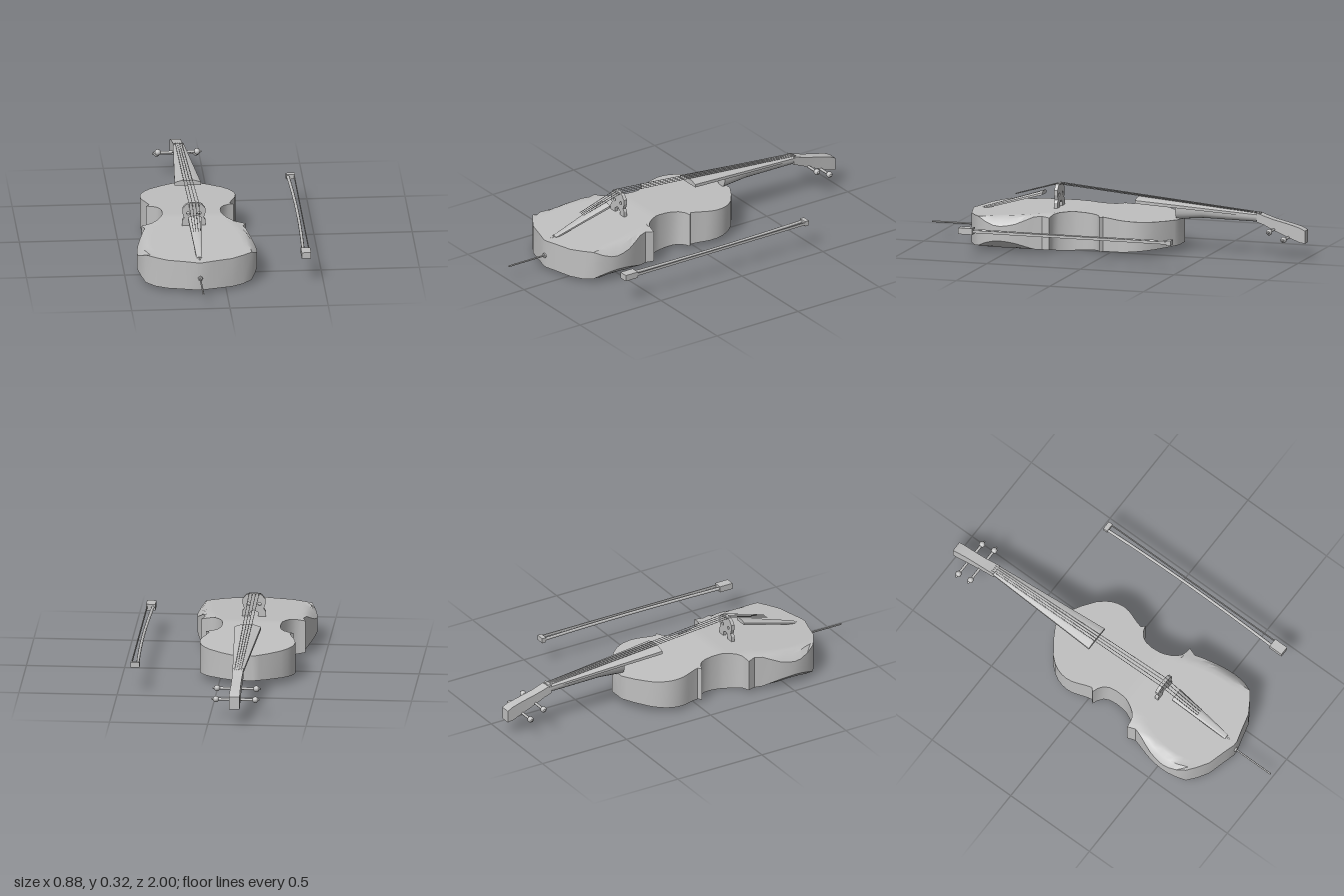
import * as THREE from 'three';
import { toCreasedNormals } from 'three/addons/utils/BufferGeometryUtils.js';

const grey = new THREE.MeshStandardMaterial({ color: 0xc0c0c0 });
grey.name = 'plain grey';

// Piecewise linear curve through [t, value] knots
function lerpKnots(knots, t) {
  for (let i = 1; i < knots.length; i++) {
    const [t0, v0] = knots[i - 1], [t1, v1] = knots[i];
    if (t <= t1) return v0 + (v1 - v0) * Math.max(0, (t - t0) / (t1 - t0));
  }
  return knots[knots.length - 1][1];
}

// Skin over rings (counter-clockwise seen from +z), listed from back to front
function loft(rings, crease = 0.6) {
  const n = rings[0].length, index = [];
  for (let i = 0; i < rings.length - 1; i++) {
    for (let k = 0; k < n; k++) {
      const a = i * n + k, b = i * n + (k + 1) % n;
      index.push(a, b, a + n, b, b + n, a + n);
    }
  }
  const last = (rings.length - 1) * n;
  for (let k = 1; k < n - 1; k++) index.push(0, k + 1, k, last, last + k, last + k + 1);
  const g = new THREE.BufferGeometry();
  g.setAttribute('position', new THREE.Float32BufferAttribute(rings.flat(2), 3));
  g.setIndex(index);
  return toCreasedNormals(g, crease);
}

// Unit cross-sections: x in -1..1, y in 0..1
const box = [[-1, 0], [1, 0], [1, 1], [-1, 1]];
const arched = [[-1, 0], [1, 0], [1, 0.6], [0.5, 1], [-0.5, 1], [-1, 0.6]];
const rounded = [[-1, 1], ...Array.from({ length: 9 }, (_, i) => {
  const a = Math.PI * (1 + i / 8);
  return [Math.cos(a), 0.75 + 0.75 * Math.sin(a)];
}), [1, 1]];

// Sections are [z, half width, bottom, top]
const bar = (shape, sections) => loft(sections.map(([z, w, y0, y1]) =>
  shape.map(([u, v]) => [u * w, y0 + (y1 - y0) * v, z])));

function add(parent, name, geometry) {
  const mesh = new THREE.Mesh(geometry, grey);
  mesh.name = name;
  parent.add(mesh);
  return mesh;
}

// Straight round rod between two points
function rod(parent, name, a, b, r0, r1 = r0, sides = 8) {
  const p = new THREE.Vector3(...a), q = new THREE.Vector3(...b);
  const d = q.clone().sub(p);
  const mesh = add(parent, name, new THREE.CylinderGeometry(r1, r0, d.length(), sides));
  mesh.position.copy(p).addScaledVector(d, 0.5);
  mesh.quaternion.setFromUnitVectors(new THREE.Vector3(0, 1, 0), d.normalize());
  return mesh;
}

function bodyGeometry() {
  // Outline as [z, half width]
  const outline = [
    [-0.335, 0.045], [-0.318, 0.075], [-0.295, 0.115], [-0.245, 0.182], [-0.21, 0.212], [-0.18, 0.229],
    [-0.15, 0.239], [-0.115, 0.243], [-0.08, 0.239], [-0.05, 0.229], [-0.01, 0.214], [0.02, 0.206],
    [0.035, 0.223], [0.045, 0.195], [0.065, 0.168], [0.095, 0.153], [0.135, 0.148], [0.175, 0.15],
    [0.2, 0.155], [0.235, 0.171], [0.262, 0.19], [0.28, 0.213], [0.285, 0.24], [0.288, 0.265],
    [0.33, 0.25], [0.37, 0.263], [0.415, 0.28], [0.46, 0.295], [0.505, 0.303], [0.54, 0.306],
    [0.575, 0.303], [0.62, 0.291], [0.665, 0.27], [0.7, 0.222], [0.735, 0.165], [0.76, 0.07], [0.777, 0.012]];
  // Arch of both plates along and across the body
  const topZ = [[-0.34, 0.175], [0.2, 0.206], [0.78, 0.167]];
  const topX = [[0, 0.206], [0.165, 0.206], [0.265, 0.186], [0.306, 0.135]];
  const backZ = [[-0.34, 0.045], [0.22, 0.003], [0.78, 0.019]];
  const backX = [[0, 0.003], [0.165, 0.003], [0.265, 0.02], [0.306, 0.06]];
  const n = 24;
  return loft(outline.map(([z, w]) => {
    const back = [], top = [];
    for (let j = 0; j <= n; j++) {
      const x = w * (2 * j / n - 1), d = Math.abs(x);
      back.push([x, Math.max(lerpKnots(backZ, z), lerpKnots(backX, d)), z]);
      top.unshift([x, Math.min(lerpKnots(topZ, z), lerpKnots(topX, d)), z]);
    }
    return [...back, ...top];
  }));
}

function bridgeGeometry() {
  const s = new THREE.Shape();
  const half = [[0.022, 0.195], [0.06, 0.195], [0.06, 0.225], [0.05, 0.24], [0.058, 0.265], [0.058, 0.29], [0.04, 0.312], [0.018, 0.319]];
  const points = [...half, ...half.map(([x, y]) => [-x, y]).reverse(), [-0.02, 0.22], [0, 0.232], [0.02, 0.22]];
  s.setFromPoints(points.map(([x, y]) => new THREE.Vector2(x, y)));
  for (const x of [-0.028, 0.028]) s.holes.push(new THREE.Path().absarc(x, 0.264, 0.009, 0, Math.PI * 2, true));
  const g = new THREE.ExtrudeGeometry(s, { depth: 0.018, bevelEnabled: false, curveSegments: 8 });
  return g.translate(0, 0, 0.311);
}

export function createModel() {
  const model = new THREE.Group();
  model.name = 'celloAndBow';

  const cello = new THREE.Group();
  cello.name = 'cello';
  cello.position.x = -0.135;
  model.add(cello);

  add(cello, 'body', bodyGeometry());
  add(cello, 'bridge', bridgeGeometry());
  add(cello, 'neck', bar(rounded, [[-0.76, 0.026, 0.18, 0.213], [-0.45, 0.031, 0.183, 0.232], [-0.31, 0.036, 0.17, 0.238]]));
  add(cello, 'fingerboard', bar(arched, [[-0.752, 0.028, 0.208, 0.227], [-0.105, 0.067, 0.248, 0.275]]));
  add(cello, 'tailpiece', bar(arched, [[0.4, 0.035, 0.258, 0.278], [0.72, 0.014, 0.165, 0.177]]));
  rod(cello, 'tailCord', [0, 0.17, 0.71], [0, 0.163, 0.775], 0.004);
  add(cello, 'pegbox', bar(box, [
    [-1, 0.027, 0.085, 0.15], [-0.97, 0.027, 0.09, 0.165], [-0.915, 0.025, 0.11, 0.18],
    [-0.83, 0.025, 0.145, 0.2], [-0.78, 0.027, 0.17, 0.216], [-0.742, 0.028, 0.183, 0.23]]));

  // Tuning pegs, two on each side
  for (const [z, y] of [[-0.91, 0.112], [-0.833, 0.148]]) {
    for (const side of [-1, 1]) {
      rod(cello, 'pegShaft', [0, y, z], [side * 0.09, y, z], 0.007);
      add(cello, 'pegKnob', new THREE.SphereGeometry(0.016, 12, 8)).position.set(side * 0.1, y, z);
      rod(cello, 'pegTip', [side * 0.11, y, z], [side * 0.122, y, z], 0.008, 0.004);
    }
  }

  // Strings run nut, bridge, tailpiece
  for (const i of [-1.5, -0.5, 0.5, 1.5]) {
    const top = [i * 0.017, 0.319, 0.32];
    rod(cello, 'string', [i * 0.011, 0.226, -0.76], top, 0.0016, 0.0016, 5);
    rod(cello, 'stringEnd', top, [i * 0.012, 0.252, 0.55], 0.0016, 0.0016, 5);
  }

  // End pin with its collar
  rod(cello, 'endPinCollar', [0, 0.082, 0.765], [0, 0.082, 0.785], 0.014, 0.012, 12);
  rod(cello, 'endPin', [0, 0.082, 0.77], [0, 0.082, 1], 0.0045);

  const bow = new THREE.Group();
  bow.name = 'bow';
  model.add(bow);
  const stick = new THREE.CatmullRomCurve3([[0.399, -0.45], [0.407, -0.22], [0.411, 0.08], [0.408, 0.36], [0.401, 0.62]]
    .map(([x, z]) => new THREE.Vector3(x, 0.151, z)));
  add(bow, 'stick', new THREE.TubeGeometry(stick, 24, 0.008, 8));
  add(bow, 'hair', new THREE.BoxGeometry(0.004, 0.014, 1.06)).position.set(0.432, 0.151, 0.08);
  add(bow, 'frog', new THREE.BoxGeometry(0.048, 0.032, 0.075)).position.set(0.413, 0.151, 0.636);
  add(bow, 'bowTip', new THREE.BoxGeometry(0.046, 0.026, 0.024)).position.set(0.412, 0.151, -0.447);

  return model;
}
